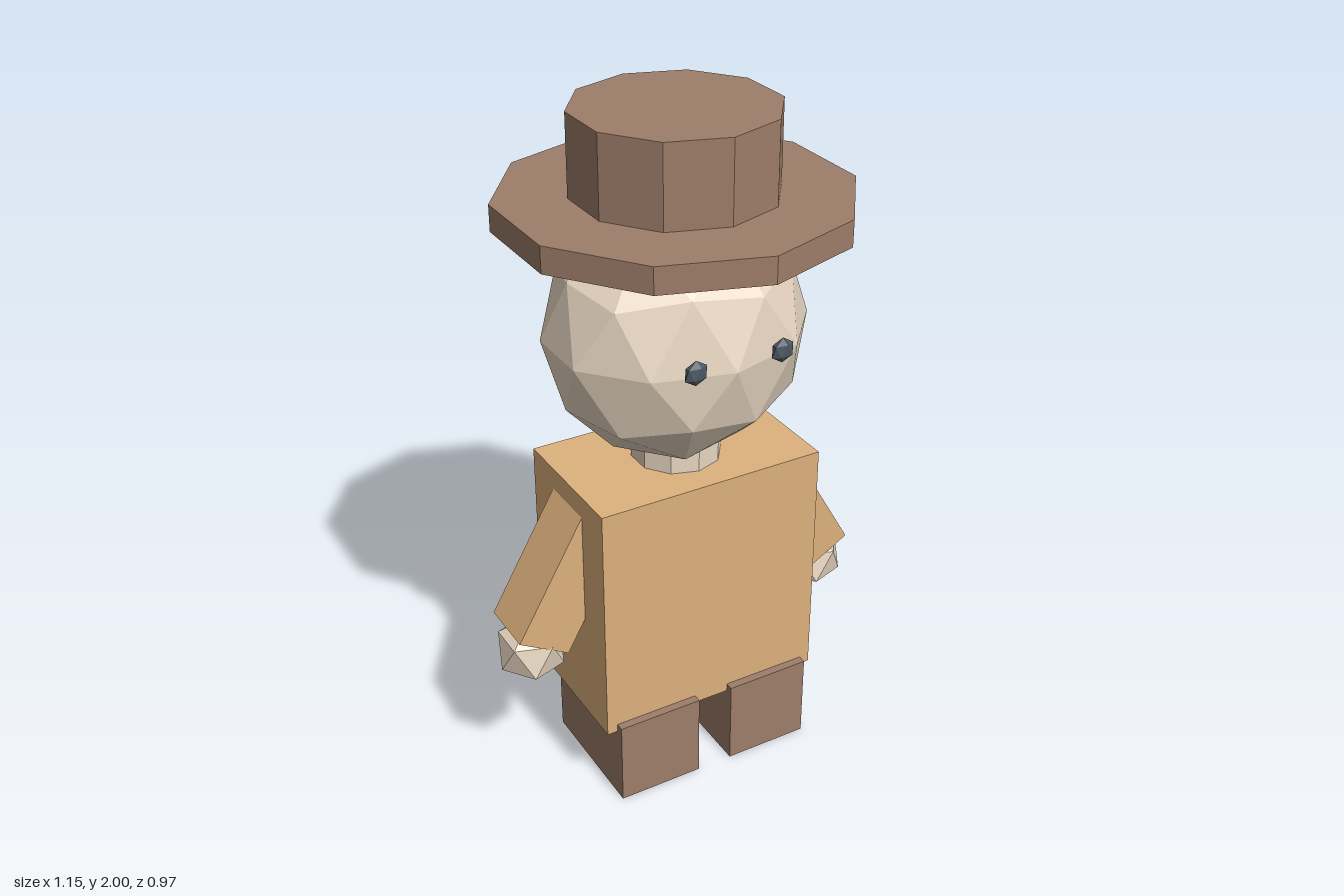
import * as THREE from 'three';

const material = (color) => new THREE.MeshStandardMaterial({ color, flatShading: true });

// Icosphere with a vertex on the vertical axis and an upper-ring vertex toward +x
function icosphere(radius, detail) {
  const geometry = new THREE.IcosahedronGeometry(radius, detail);
  geometry.rotateX(-Math.atan((1 + Math.sqrt(5)) / 2));
  geometry.rotateY(Math.PI / 2);
  return geometry;
}

export function createModel() {
  const model = new THREE.Group();
  model.name = 'hattedFigure';

  const skin = material(0xe8d7c2);
  const shirt = material(0xdeb17d);
  const brown = material(0x9d7d69);
  const dark = material(0x4c5862);

  const add = (name, geometry, mat, x, y, z) => {
    const mesh = new THREE.Mesh(geometry, mat);
    mesh.name = name;
    mesh.position.set(x, y, z);
    model.add(mesh);
    return mesh;
  };

  // Body, neck and head
  add('torso', new THREE.BoxGeometry(0.694, 0.745, 0.42), shirt, 0, 0.6125, 0);
  add('neck', new THREE.CylinderGeometry(0.13, 0.13, 0.16, 10), skin, 0, 1.04, 0);
  add('head', icosphere(0.38, 1), skin, 0, 1.38, 0).scale.z = 0.32 / 0.38;

  // Ten-sided hat
  add('hatBrim', new THREE.CylinderGeometry(0.487, 0.487, 0.075, 10), brown, 0, 1.7325, 0);
  add('hatCrown', new THREE.CylinderGeometry(0.284, 0.284, 0.24, 10), brown, 0, 1.88, 0);

  // Paired parts
  for (const [side, s] of [['left', 1], ['right', -1]]) {
    add(side + 'Eye', icosphere(0.036, 0), dark, s * 0.13, 1.417, 0.328).scale.z = 0.4;
    add(side + 'Leg', new THREE.BoxGeometry(0.26, 0.265, 0.4), brown, s * 0.185, 0.1325, 0.035);
    add(side + 'Hand', icosphere(0.105, 0), skin, s * 0.48, 0.47, 0);

    // Sleeve leans outward, its upper end buried in the torso
    const arm = add(side + 'Arm', new THREE.BoxGeometry(0.171, 0.46, 0.176), shirt, s * 0.363, 0.719, 0);
    arm.rotation.z = s * Math.PI / 6;
  }

  return model;
}
